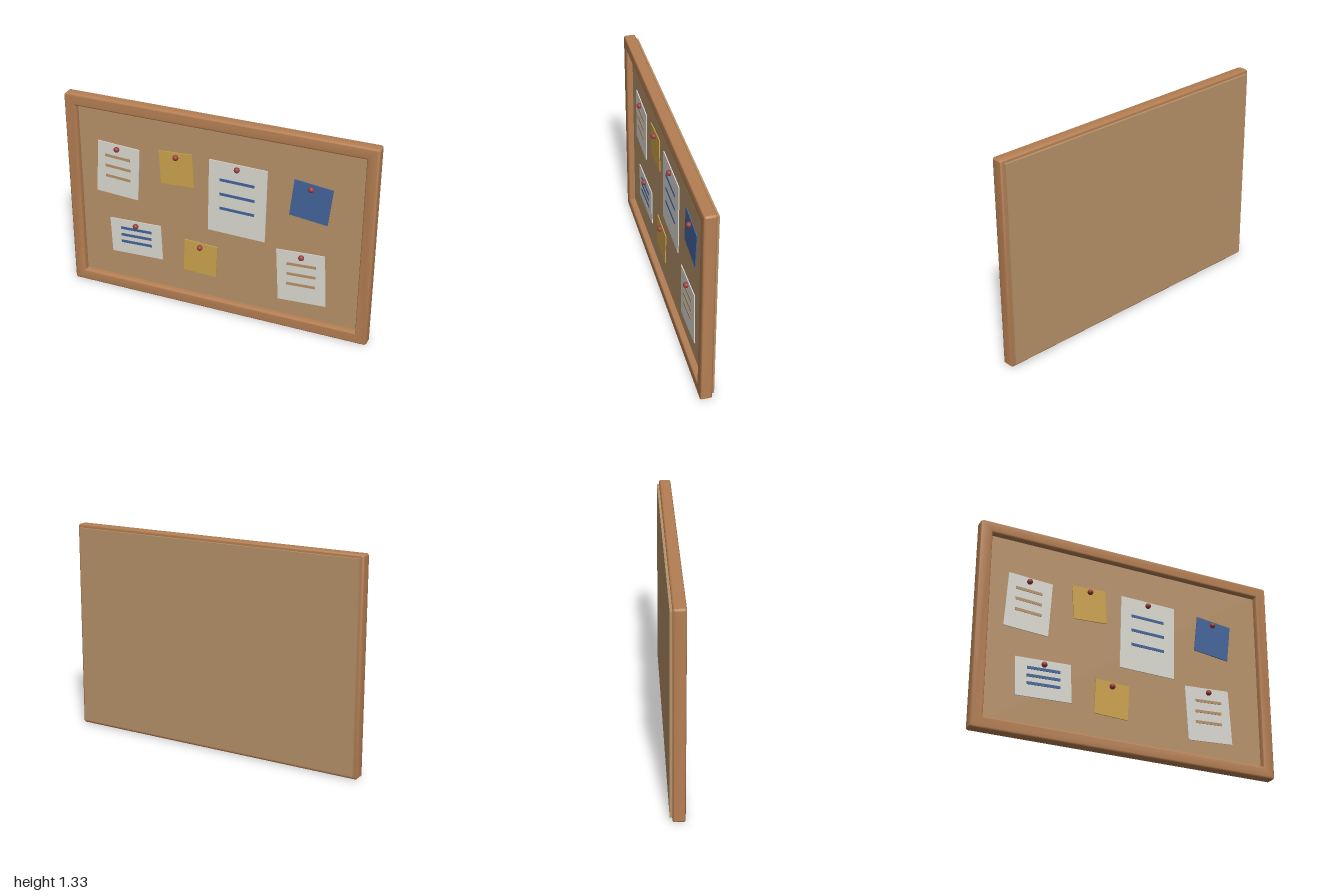
import * as THREE from 'three';
import { toCreasedNormals } from 'three/addons/utils/BufferGeometryUtils.js';

const W = 2, H = 1.333, BAR = 0.075, BEVEL = 0.012;
const FRONT = 0.045, BACK = -0.03, CORK_BACK = -0.045, CORK_FRONT = 0.005;

const material = (color) => new THREE.MeshStandardMaterial({ color });
const wood = material(0xb57f53);
const cork = material(0xb8936a);
const white = material(0xdcdad2);
const yellow = material(0xcda44c);
const blue = material(0x43659c);
const red = material(0x9c3f3f);

function addMesh(parent, name, geometry, mat, x = 0, y = 0, z = 0) {
  const mesh = new THREE.Mesh(geometry, mat);
  mesh.name = name;
  mesh.position.set(x, y, z);
  parent.add(mesh);
  return mesh;
}

// Rectangle with small cut corners, centred on the origin
function rectangle(PathType, w, h, cut) {
  const x = w / 2, y = h / 2;
  const points = [
    [-x + cut, -y], [x - cut, -y], [x, -y + cut], [x, y - cut],
    [x - cut, y], [-x + cut, y], [-x, y - cut], [-x, -y + cut],
  ];
  return new PathType(points.map(([a, b]) => new THREE.Vector2(a, b)));
}

// Picture frame with rounded edges
function frameGeometry() {
  const shape = rectangle(THREE.Shape, W - 2 * BEVEL, H - 2 * BEVEL, 0.003);
  shape.holes.push(rectangle(THREE.Path, W - 2 * BAR + 2 * BEVEL, H - 2 * BAR + 2 * BEVEL, 0.001));
  const geometry = new THREE.ExtrudeGeometry(shape, {
    depth: FRONT - BACK - 2 * BEVEL,
    bevelThickness: BEVEL, bevelSize: BEVEL, bevelSegments: 3,
  });
  geometry.translate(0, 0, BACK + BEVEL);
  return toCreasedNormals(geometry, 0.7);
}

// One pinned note: sheet, optional written lines and a round pin
function note({ name, x, y, w, h, tilt, color, ink }) {
  const group = new THREE.Group();
  group.name = name;
  group.position.set(x, y, CORK_FRONT);
  addMesh(group, 'sheet', new THREE.BoxGeometry(w, h, 0.006), color, 0, 0, 0.003).rotation.z = tilt;
  if (ink) {
    for (const offset of [0.25, 0.05, -0.15]) {
      const line = addMesh(group, 'writtenLine', new THREE.BoxGeometry(w * 0.6, 0.018, 0.003), ink, 0, h * offset, 0.0075);
      line.rotation.z = tilt;
    }
  }
  addMesh(group, 'pin', new THREE.SphereGeometry(0.018, 16, 12), red, 0, h / 2 - 0.03, 0.015);
  return group;
}

export function createModel() {
  const model = new THREE.Group();
  model.name = 'noticeBoard';

  addMesh(model, 'frame', frameGeometry(), wood, 0, H / 2, 0);

  // Cork panel, standing slightly proud of the back of the frame
  addMesh(model, 'corkPanel', new THREE.BoxGeometry(1.955, 1.288, CORK_FRONT - CORK_BACK), cork,
    0, H / 2, (CORK_FRONT + CORK_BACK) / 2);

  const notes = [
    { name: 'upperLeftSheet', x: -0.667, y: 0.85, w: 0.285, h: 0.355, tilt: -0.06, color: white, ink: cork },
    { name: 'upperYellowNote', x: -0.267, y: 0.94, w: 0.222, h: 0.222, tilt: 0.055, color: yellow },
    { name: 'largeSheet', x: 0.133, y: 0.805, w: 0.375, h: 0.488, tilt: -0.02, color: white, ink: blue },
    { name: 'blueNote', x: 0.6, y: 0.895, w: 0.242, h: 0.242, tilt: -0.11, color: blue },
    { name: 'lowerLeftCard', x: -0.556, y: 0.382, w: 0.355, h: 0.243, tilt: 0.037, color: white, ink: blue },
    { name: 'lowerYellowNote', x: -0.112, y: 0.34, w: 0.222, h: 0.222, tilt: -0.045, color: yellow },
    { name: 'lowerRightSheet', x: 0.556, y: 0.361, w: 0.31, h: 0.355, tilt: 0.055, color: white, ink: cork },
  ];
  for (const spec of notes) model.add(note(spec));

  return model;
}
